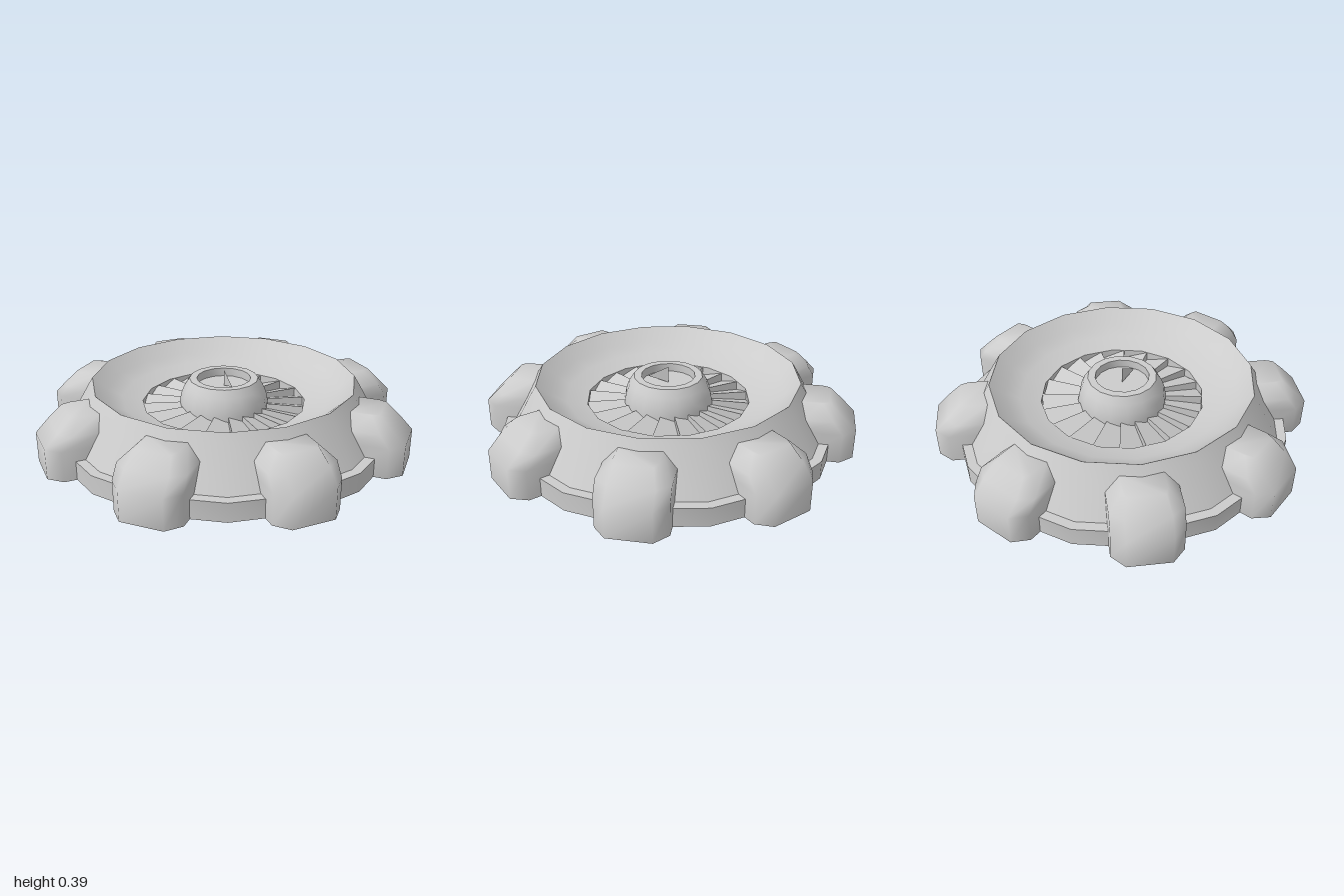
import * as THREE from 'three';
import { toCreasedNormals } from 'three/addons/utils/BufferGeometryUtils.js';

const material = new THREE.MeshStandardMaterial({ color: 0xcccccc, side: THREE.DoubleSide });

function part(name, geometry, crease) {
  const geo = crease ? toCreasedNormals(geometry, crease) : geometry;
  const mesh = new THREE.Mesh(geo, material);
  mesh.name = name;
  return mesh;
}

function lathe(name, points, sides) {
  const profile = points.map(([r, y]) => new THREE.Vector2(r, y));
  return part(name, new THREE.LatheGeometry(profile, sides), 0.6);
}

function surface(positions, index) {
  const geo = new THREE.BufferGeometry();
  geo.setAttribute('position', new THREE.Float32BufferAttribute(positions, 3));
  geo.setIndex(index);
  geo.computeVertexNormals();
  return geo;
}

// Chamfered lug: stacked six-point outlines, open underneath and towards the hub
function lugGeometry() {
  const rows = [
    { y: 0, w: 0.175, o: 0.11, back: 0.68, corner: 0.93, r: 1 },
    { y: 0.16, w: 0.175, o: 0.11, back: 0.7, corner: 0.93, r: 1 },
    { y: 0.23, w: 0.175, o: 0.11, back: 0.73, corner: 0.88, r: 0.93 },
    { y: 0.3, w: 0.105, o: 0.09, back: 0.71, corner: 0.82, r: 0.86 },
  ];
  const pos = [], idx = [], n = 6;
  rows.forEach(({ y, w, o, back, corner, r }) => {
    const outline = [[-w, back], [-w, corner], [-o, r], [o, r], [w, corner], [w, back]];
    outline.forEach(([x, z]) => pos.push(x, y, z));
  });
  for (let j = 0; j < rows.length - 1; j++) {
    for (let k = 0; k < n - 1; k++) {
      const a = j * n + k;
      idx.push(a, a + 1, a + n + 1, a, a + n + 1, a + n);
    }
  }
  const top = (rows.length - 1) * n;
  for (let k = 1; k < n - 1; k++) idx.push(top, top + k, top + k + 1);
  return surface(pos, idx);
}

// Ring of tilted fan blades, each with a step up to the next
function fanGeometry(count, inner, outer, height, drop) {
  const pos = [], idx = [];
  for (let n = 0; n < count; n++) {
    const base = pos.length / 3;
    const a0 = (n / count) * Math.PI * 2, a1 = ((n + 1) / count) * Math.PI * 2;
    [[a0, 0], [a1, drop], [a1, 0]].forEach(([a, d]) => {
      [inner, outer].forEach((r) => {
        pos.push(Math.sin(a) * r, height - (d * r) / outer, Math.cos(a) * r);
      });
    });
    idx.push(base, base + 1, base + 3, base, base + 3, base + 2);
    idx.push(base + 2, base + 3, base + 5, base + 2, base + 5, base + 4);
  }
  return surface(pos, idx);
}

export function createModel() {
  const model = new THREE.Group();
  model.name = 'luggedWheel';

  // Recessed underside, thin skirt, sloping wall, rim and dished bowl
  model.add(lathe('body', [
    [0, 0.1], [0.897, 0.1], [0.897, 0], [0.9, 0], [0.9, 0.1], [0.85, 0.1],
    [0.73, 0.31], [0.705, 0.35], [0.63, 0.285], [0.55, 0.243],
    [0.44, 0.215], [0.44, 0.15],
  ], 16));

  // Fan
  model.add(part('fanBlades', fanGeometry(20, 0.22, 0.437, 0.213, 0.05), 0.2));

  // Domed hub with a shallow socket
  model.add(lathe('hub', [
    [0.24, 0.15], [0.24, 0.21], [0.23, 0.26], [0.212, 0.305], [0.185, 0.345],
    [0.145, 0.345], [0.145, 0.3], [0, 0.3],
  ], 16));

  // Thin pointer fin in the socket
  const fin = surface([0, 0.39, 0, 0, 0.3, 0, 0, 0.33, 0.11], [0, 1, 2]);
  model.add(part('pointerFin', fin));

  // Eight lugs around the skirt
  const lugShape = lugGeometry();
  for (let n = 0; n < 8; n++) {
    const lug = part('lug', lugShape, 1.3);
    lug.rotation.y = (n * Math.PI) / 4;
    model.add(lug);
  }
  return model;
}
